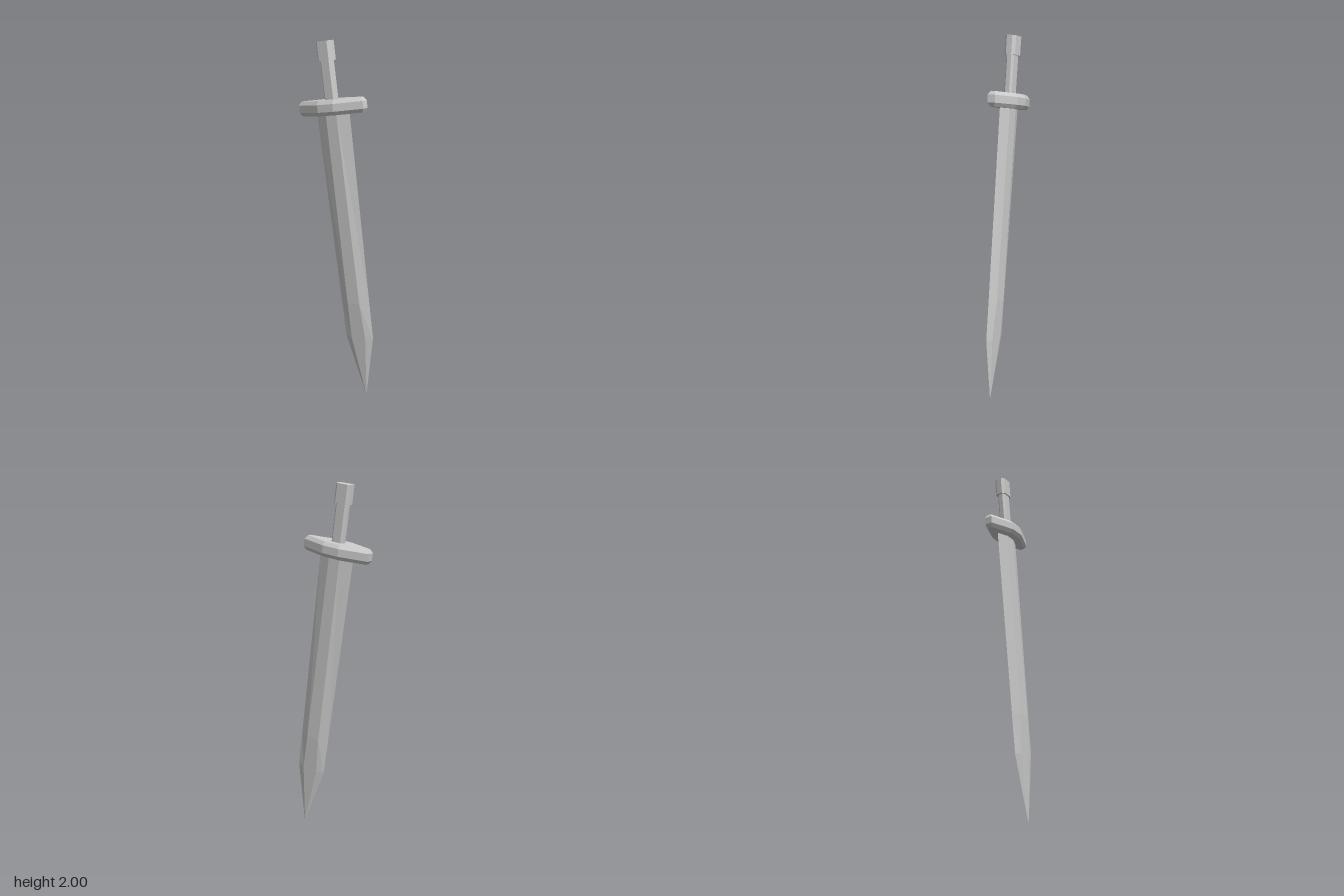
import * as THREE from 'three';

// Joins horizontal rings (listed bottom to top, each { y, pts: [x, z][] }) into a closed faceted solid
function loft(name, rings) {
  const verts = rings.map(({ y, pts }) => pts.map(([x, z]) => new THREE.Vector3(x, y, z)));
  const n = verts[0].length;
  const positions = [];
  const tri = (a, b, c) => {
    if (new THREE.Triangle(a, b, c).getArea() < 1e-9) return;
    for (const p of [a, b, c]) positions.push(p.x, p.y, p.z);
  };
  for (let i = 0; i < verts.length - 1; i++) {
    const lo = verts[i], hi = verts[i + 1];
    for (let k = 0; k < n; k++) {
      const j = (k + 1) % n;
      tri(lo[k], hi[k], hi[j]);
      tri(lo[k], hi[j], lo[j]);
    }
  }
  // End caps
  const bottom = verts[0], top = verts[verts.length - 1];
  for (let k = 1; k < n - 1; k++) {
    tri(bottom[0], bottom[k], bottom[k + 1]);
    tri(top[0], top[k + 1], top[k]);
  }
  const geometry = new THREE.BufferGeometry();
  geometry.setAttribute('position', new THREE.Float32BufferAttribute(positions, 3));
  geometry.computeVertexNormals();
  const material = new THREE.MeshStandardMaterial({ color: 0xcccccc, flatShading: true });
  const mesh = new THREE.Mesh(geometry, material);
  mesh.name = name;
  return mesh;
}

// Blade section: sharp edges at +-w, flat faces of half width f and half thickness t
const bladeRing = (y, w, f, t) => ({ y, pts: [[w, 0], [f, t], [-f, t], [-w, 0], [-f, -t], [f, -t]] });

// Rectangle with corners cut off by (cx, cz); w and d are half sizes
const cutRing = (y, w, d, cx, cz) => ({
  y,
  pts: [[w, d - cz], [w - cx, d], [cx - w, d], [-w, d - cz],
    [-w, cz - d], [cx - w, -d], [w - cx, -d], [w, cz - d]],
});

export function createModel() {
  const sword = new THREE.Group();

  // Blade: point, shoulders, end of the flat, root inside the guard
  sword.add(loft('blade', [
    bladeRing(-1.67, 0, 0, 0),
    bladeRing(-1.31, 0.088, 0.045, 0.015),
    bladeRing(-1.1, 0.09, 0.038, 0.024),
    bladeRing(-0.03, 0.102, 0.033, 0.024),
  ]));

  // Crossguard: long tapered plate with bevelled rims
  sword.add(loft('crossguard', [
    cutRing(-0.04, 0.187, 0.06, 0.14, 0.048),
    cutRing(-0.02, 0.2, 0.074, 0.152, 0.052),
    cutRing(0.02, 0.2, 0.074, 0.152, 0.052),
    cutRing(0.04, 0.187, 0.06, 0.14, 0.048),
  ]));

  // Grip and pommel: bars with cut corners
  const bar = (name, y0, y1, w, d, c) =>
    loft(name, [y0, y1].map((y) => cutRing(y, w, d, c, c)));
  sword.add(bar('grip', 0.03, 0.25, 0.035, 0.023, 0.011));
  sword.add(bar('pommel', 0.24, 0.341, 0.045, 0.031, 0.015));

  // Lean the sword about the middle of the guard
  sword.name = 'sword';
  sword.position.set(-0.04, 1.655, 0);
  sword.rotation.z = 0.138;

  const model = new THREE.Group();
  model.add(sword);
  return model;
}
